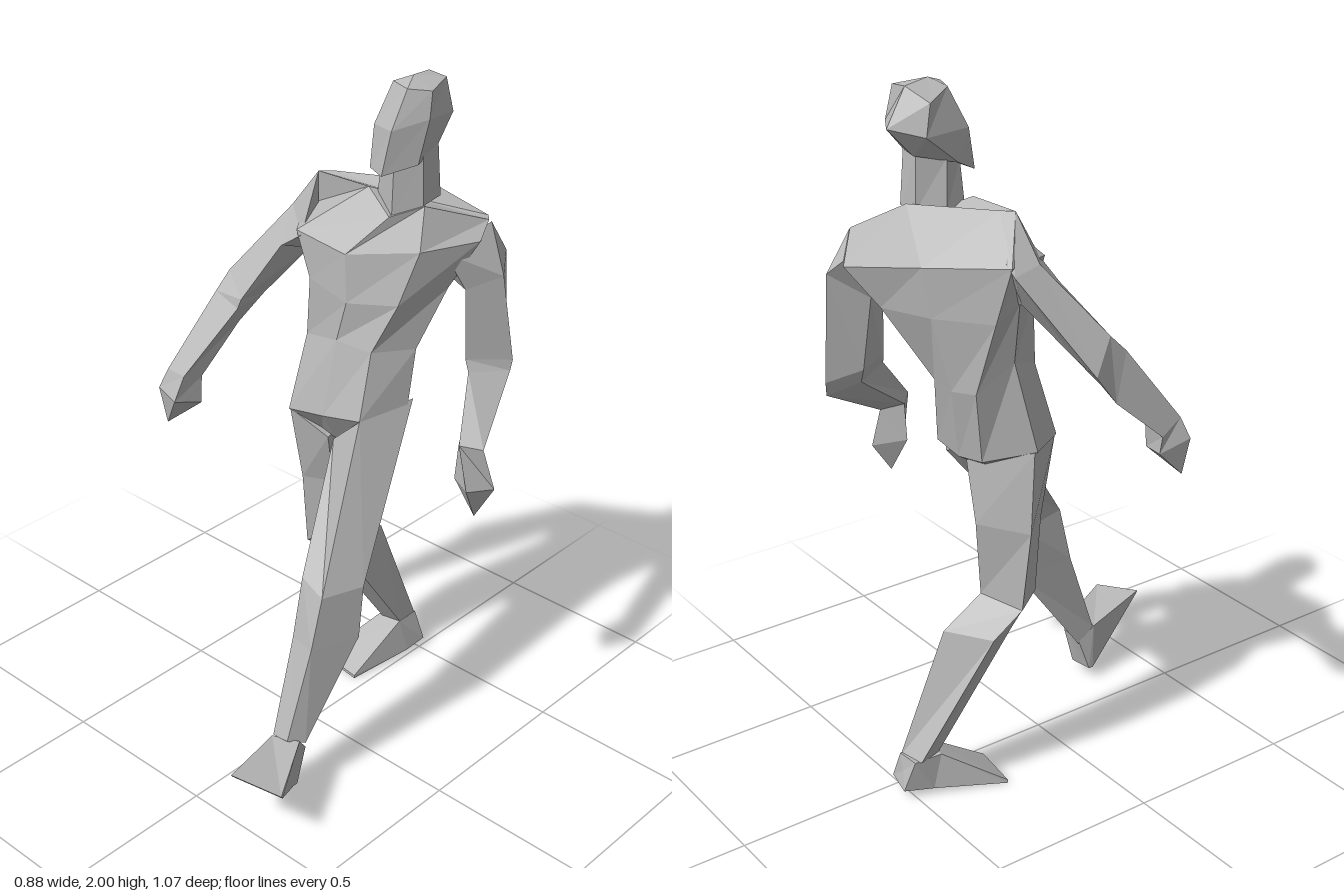
import * as THREE from 'three';

const skin = new THREE.MeshStandardMaterial({ color: 0xb8b8b8, flatShading: true });
skin.name = 'plain grey';

// Skin a list of equal-sized cross-sections and close both ends.
function loft(name, rings) {
  const n = rings[0].length, tris = [];
  const v = rings.map(r => r.map(p => new THREE.Vector3(...p)));
  const centre = r => r.reduce((s, p) => s.add(p), new THREE.Vector3()).divideScalar(n);
  const first = v[0], last = v[v.length - 1], c0 = centre(first), c1 = centre(last);
  for (let i = 0; i < n; i++) {
    const j = (i + 1) % n;
    for (let k = 0; k < v.length - 1; k++) {
      const a = v[k], b = v[k + 1];
      tris.push([a[i], a[j], b[j]], [a[i], b[j], b[i]]);
    }
    tris.push([c0, first[j], first[i]], [c1, last[i], last[j]]);
  }
  // Turn the faces outward whichever way the sections run.
  const volume = tris.reduce((s, [a, b, c]) => s + a.dot(b.clone().cross(c)), 0);
  const points = tris.flatMap(t => (volume < 0 ? [t[0], t[2], t[1]] : t));
  const geo = new THREE.BufferGeometry().setFromPoints(points);
  geo.computeVertexNormals();
  const mesh = new THREE.Mesh(geo, skin);
  mesh.name = name;
  return mesh;
}

const tip = (n, x, y, z) => Array.from({ length: n }, () => [x, y, z]);

export function createModel() {
  const model = new THREE.Group();
  model.name = 'walkingFigure';

  // Torso sections: right, front x3, left, back x3
  const torso = loft('torso', [
    [[-.12, .97, -.14], [-.06, .95, -.1], [-.01, .945, -.1], [.05, .95, -.1], [.12, .98, -.14], [.06, .95, -.23], [-.01, .95, -.24], [-.08, .96, -.23]],
    [[-.2, 1.02, -.15], [-.13, 1.02, -.035], [0, 1.045, -.035], [.13, 1.07, -.045], [.18, 1.08, -.19], [.09, .99, -.28], [-.02, .98, -.285], [-.11, .99, -.27]],
    [[-.165, 1.28, -.2], [-.12, 1.24, -.1], [.01, 1.27, -.08], [.12, 1.26, -.1], [.18, 1.25, -.22], [.03, 1.2, -.325], [-.05, 1.19, -.325], [-.13, 1.2, -.3]],
    [[-.19, 1.45, -.2], [-.1, 1.42, -.09], [.04, 1.39, -.085], [.17, 1.4, -.15], [.22, 1.42, -.3], [.12, 1.4, -.43], [-.03, 1.4, -.37], [-.195, 1.41, -.28]],
    [[-.22, 1.57, -.2], [-.15, 1.55, -.09], [.03, 1.53, -.09], [.2, 1.55, -.2], [.27, 1.55, -.37], [.185, 1.51, -.5], [-.02, 1.54, -.39], [-.24, 1.57, -.26]],
    [[-.16, 1.69, -.19], [.015, 1.69, -.2], [.11, 1.635, -.175], [.17, 1.66, -.25], [.25, 1.59, -.43], [.235, 1.595, -.445], [.09, 1.68, -.36], [-.13, 1.69, -.22]],
  ]);

  // Neck and head sections: front right, front left, left, back left, back right, right
  const neck = loft('neck', [
    [[.03, 1.65, -.215], [.11, 1.63, -.185], [.165, 1.66, -.25], [.15, 1.66, -.34], [.07, 1.66, -.345], [.02, 1.66, -.28]],
    [[.045, 1.79, -.22], [.11, 1.79, -.19], [.16, 1.8, -.25], [.145, 1.81, -.33], [.07, 1.81, -.34], [.03, 1.8, -.27]],
  ]);
  const head = loft('head', [
    [[.035, 1.755, -.18], [.11, 1.76, -.14], [.16, 1.78, -.23], [.145, 1.81, -.33], [.065, 1.81, -.35], [.02, 1.785, -.24]],
    [[.03, 1.87, -.2], [.12, 1.88, -.165], [.17, 1.9, -.26], [.155, 1.89, -.375], [.07, 1.89, -.425], [0, 1.87, -.35]],
    [[.05, 1.98, -.25], [.12, 1.98, -.225], [.16, 1.97, -.28], [.14, 1.985, -.36], [.08, 1.99, -.36], [.01, 1.955, -.33]],
    tip(6, .095, 2, -.28),
  ]);

  // Arm sections: front, outer, back, inner
  const leftArm = loft('leftArm', [
    [[.22, 1.53, -.28], [.255, 1.585, -.435], [.2, 1.52, -.49], [.16, 1.43, -.36]],
    [[.25, 1.41, -.34], [.31, 1.44, -.43], [.25, 1.475, -.515], [.2, 1.4, -.41]],
    [[.26, 1.2, -.34], [.335, 1.18, -.46], [.265, 1.16, -.525], [.22, 1.19, -.43]],
    [[.28, 1.17, -.33], [.335, 1.15, -.45], [.28, 1.115, -.515], [.235, 1.15, -.43]],
    [[.36, 1.02, -.2], [.415, 1.01, -.24], [.38, .98, -.285], [.335, 1, -.23]],
  ]);
  const leftHand = loft('leftHand', [
    [[.36, 1.02, -.2], [.415, 1.01, -.24], [.38, .98, -.285], [.335, 1, -.23]],
    [[.4, .89, -.19], [.437, .88, -.27], [.39, .87, -.31], [.325, .89, -.23]],
    tip(4, .385, .78, -.25),
  ]);
  const rightArm = loft('rightArm', [
    [[-.13, 1.54, -.09], [-.16, 1.69, -.19], [-.22, 1.58, -.265], [-.15, 1.45, -.23]],
    [[-.2, 1.49, -.08], [-.25, 1.57, -.18], [-.25, 1.55, -.26], [-.2, 1.45, -.2]],
    [[-.26, 1.34, .02], [-.365, 1.38, -.04], [-.4, 1.29, -.11], [-.29, 1.31, -.1]],
    [[-.27, 1.31, .025], [-.37, 1.33, .01], [-.395, 1.2, -.04], [-.33, 1.23, -.04]],
    [[-.35, 1.12, .165], [-.42, 1.12, .16], [-.425, 1.08, .095], [-.345, 1.1, .1]],
  ]);
  const rightHand = loft('rightHand', [
    [[-.35, 1.12, .165], [-.42, 1.12, .16], [-.425, 1.08, .095], [-.345, 1.1, .1]],
    [[-.355, 1.05, .2], [-.44, 1.06, .18], [-.42, 1.03, .09], [-.34, 1.02, .11]],
    tip(4, -.42, .95, .17),
  ]);

  // Leg sections: front inner, front outer, back outer, back inner
  const leftLeg = loft('leftLeg', [
    [[.01, .96, -.07], [.13, 1.07, -.045], [.183, 1.1, -.21], [.07, .96, -.265]],
    [[.1, .64, .155], [.185, .61, .165], [.238, .62, .05], [.12, .6, .04]],
    [[.105, .46, .2], [.19, .46, .215], [.232, .45, .06], [.15, .43, .04]],
    [[.125, .18, .305], [.185, .19, .31], [.21, .17, .26], [.13, .13, .255]],
  ]);
  const rightLeg = loft('rightLeg', [
    [[-.02, .95, -.08], [-.13, 1.02, -.04], [-.2, 1.02, -.16], [-.05, .98, -.28]],
    [[-.035, .78, -.12], [-.12, .78, -.08], [-.21, .785, -.18], [-.09, .8, -.28]],
    [[-.045, .58, -.13], [-.12, .55, -.1], [-.195, .55, -.2], [-.08, .575, -.26]],
    [[-.05, .47, -.2], [-.13, .465, -.19], [-.185, .48, -.29], [-.07, .49, -.38]],
    [[-.02, .12, -.43], [-.09, .12, -.42], [-.11, .12, -.49], [-.03, .11, -.51]],
  ]);

  // Foot sections from heel to toe: top inner, top outer, sole outer, sole inner
  const leftFoot = loft('leftFoot', [
    [[.13, .14, .255], [.205, .15, .255], [.2, .03, .285], [.115, .04, .285]],
    [[.125, .18, .31], [.21, .19, .285], [.2, .03, .3], [.115, .04, .3]],
    [[.185, .205, .535], [.33, .18, .485], [.33, .172, .48], [.185, .197, .53]],
  ]);
  const rightFoot = loft('rightFoot', [
    [[-.03, .12, -.51], [-.1, .12, -.505], [-.085, .03, -.535], [.005, .03, -.515]],
    [[-.02, .13, -.42], [-.105, .12, -.42], [-.11, .02, -.45], [0, .02, -.44]],
    [[-.04, .01, -.23], [-.19, .01, -.25], [-.19, 0, -.25], [-.04, 0, -.23]],
  ]);

  model.add(torso, neck, head, leftArm, leftHand, rightArm, rightHand, leftLeg, rightLeg, leftFoot, rightFoot);
  return model;
}
